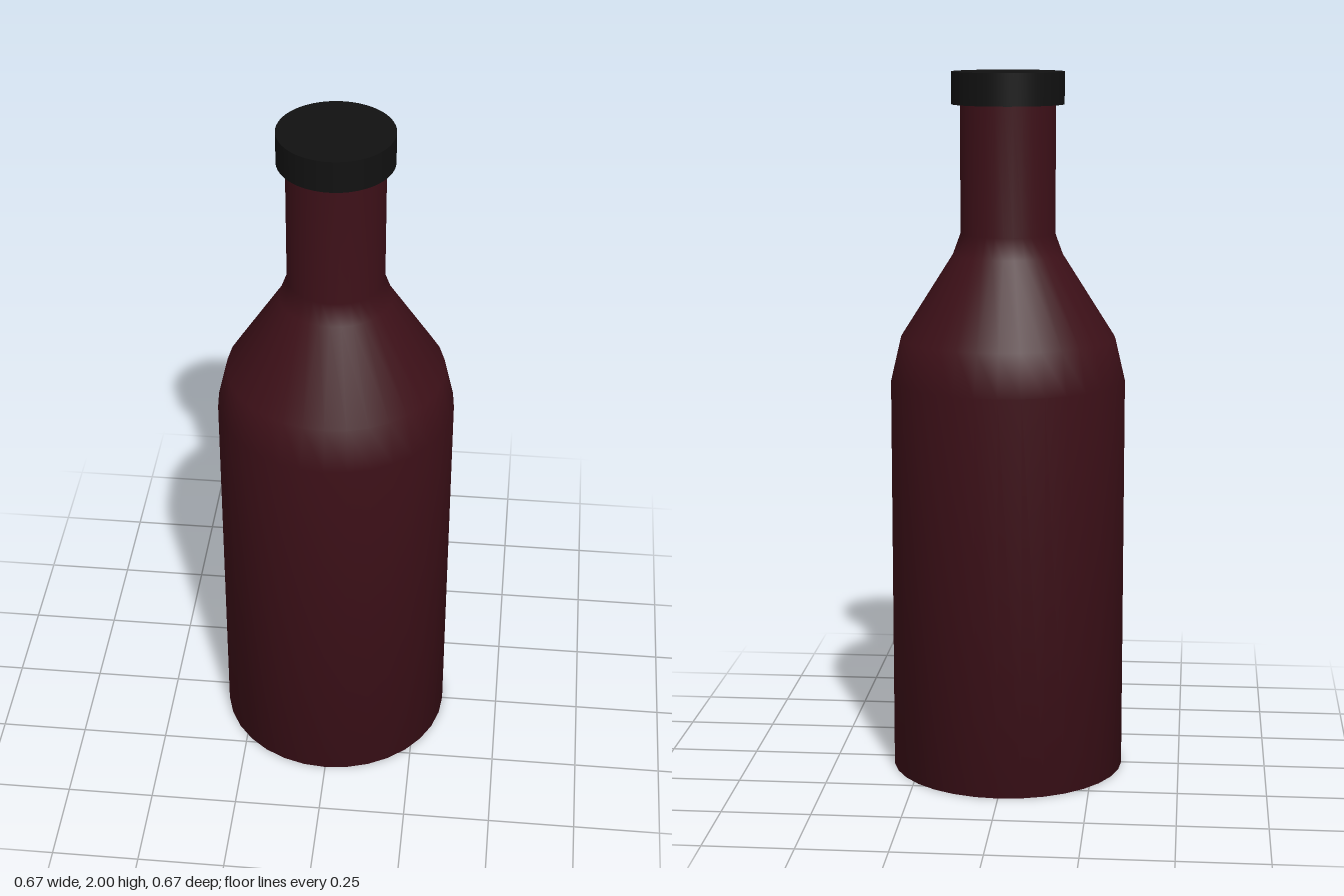
import * as THREE from 'three';

export function createModel() {
  const group = new THREE.Group();
  group.name = 'bottle';

  const glass = new THREE.MeshStandardMaterial({ color: 0x3d1018, side: THREE.DoubleSide });
  const capMaterial = new THREE.MeshStandardMaterial({ color: 0x111111 });

  // Base, straight wall, sloping shoulder and neck, turned as one profile
  const profile = [
    [0, 0], [0.333, 0], [0.333, 1.135], [0.305, 1.255],
    [0.156, 1.49], [0.134, 1.55], [0.134, 1.92],
  ].map(([r, y]) => new THREE.Vector2(r, y));
  const body = new THREE.Mesh(new THREE.LatheGeometry(profile, 32), glass);
  body.name = 'bottleBody';
  group.add(body);

  // Cap, slightly wider than the neck
  const capBottom = 1.91;
  const capHeight = 2 - capBottom;
  const cap = new THREE.Mesh(new THREE.CylinderGeometry(0.158, 0.158, capHeight, 64), capMaterial);
  cap.name = 'cap';
  cap.position.y = capBottom + capHeight / 2;
  group.add(cap);

  return group;
}
